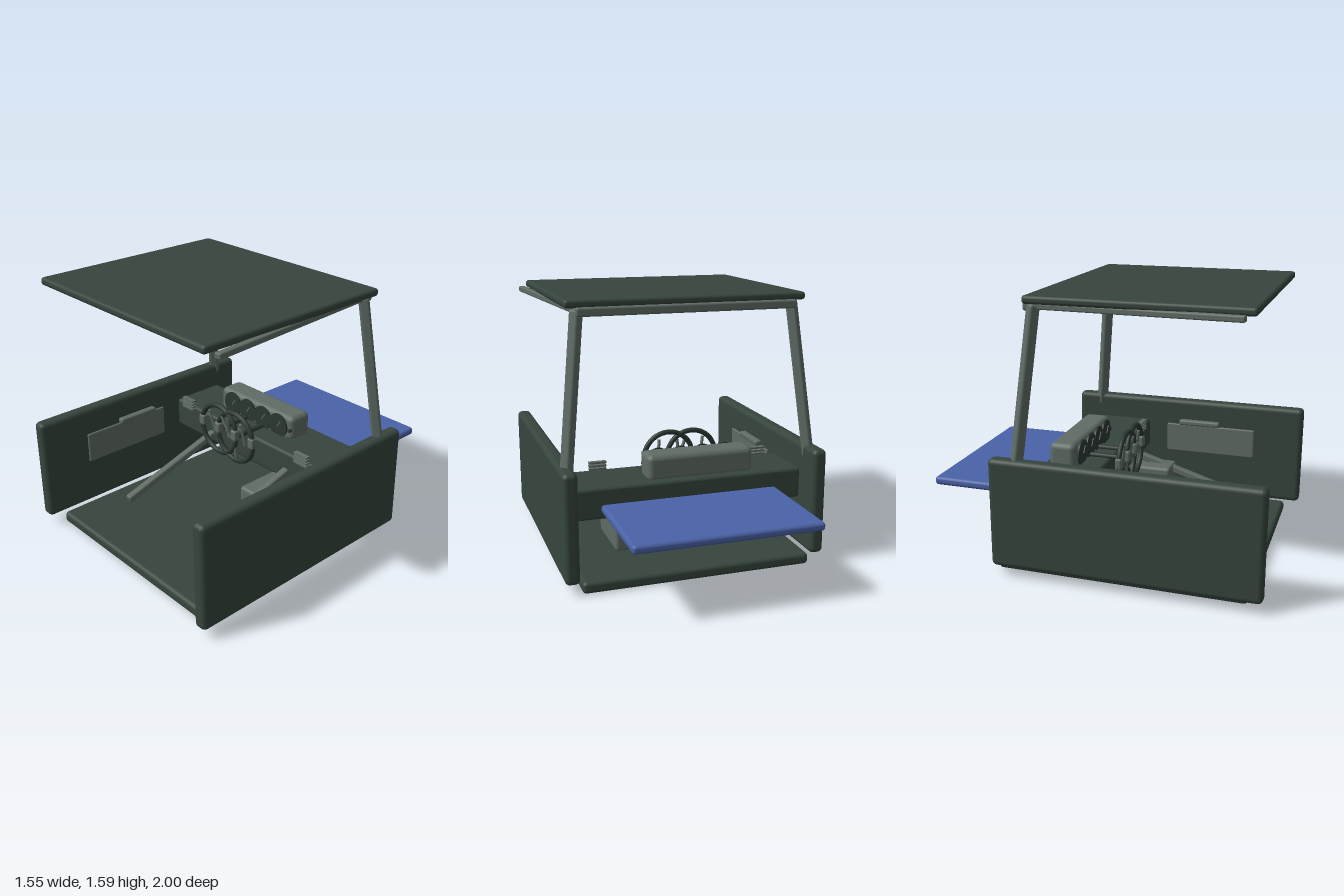
import * as THREE from 'three';
import { RoundedBoxGeometry } from 'three/addons/geometries/RoundedBoxGeometry.js';

const mat = (name, color) => {
  const m = new THREE.MeshStandardMaterial({ color });
  m.name = name;
  return m;
};

export function createModel() {
  const model = new THREE.Group();
  model.name = 'vehicleCockpit';

  const body = mat('dark green body', 0x36453d);
  const trim = mat('grey green trim', 0x606c65);
  const dark = mat('dark controls', 0x2b3731);
  const paint = mat('blue hood', 0x4a63a8);

  const add = (name, geometry, material, parent = model) => {
    const mesh = new THREE.Mesh(geometry, material);
    mesh.name = name;
    parent.add(mesh);
    return mesh;
  };

  // Rounded box given by its limits on each axis
  const slab = (name, [x0, x1], [y0, y1], [z0, z1], r, material, parent) => {
    const m = add(name, new RoundedBoxGeometry(x1 - x0, y1 - y0, z1 - z0, 3, r), material, parent);
    m.position.set((x0 + x1) / 2, (y0 + y1) / 2, (z0 + z1) / 2);
    return m;
  };

  // Rounded bar running from a to b
  const bar = (name, a, b, w, h, material, parent) => {
    const p = new THREE.Vector3(...a), q = new THREE.Vector3(...b);
    const m = add(name, new RoundedBoxGeometry(w, h, p.distanceTo(q), 2, Math.min(w, h) * 0.25), material, parent);
    m.position.copy(p).add(q).multiplyScalar(0.5);
    m.lookAt(q);
    return m;
  };

  // Main panels
  slab('floor', [-0.68, 0.68], [0, 0.07], [-0.53, 0.91], 0.025, body);
  slab('roof', [-0.7, 0.7], [1.54, 1.585], [-0.33, 0.9], 0.018, body);
  slab('dashboard', [-0.685, 0.685], [0.365, 0.55], [-0.37, -0.02], 0.02, body);
  slab('hood', [-0.53, 0.53], [0.4, 0.45], [-1, -0.33], 0.02, paint);
  bar('windshieldHeader', [-0.64, 1.52, -0.325], [0.64, 1.52, -0.325], 0.05, 0.05, trim);

  // Mirrored sides
  for (const s of [-1, 1]) {
    const side = new THREE.Group();
    side.name = s > 0 ? 'leftSide' : 'rightSide';
    model.add(side);
    const span = (a, b) => (s > 0 ? [a, b] : [-b, -a]);
    slab('sidePanel', span(0.69, 0.775), [0.06, 0.695], [-0.53, 1], 0.03, body, side);
    slab('doorCard', span(0.678, 0.7), [0.34, 0.53], [0.1, 0.69], 0.008, trim, side);
    slab('doorHandle', span(0.64, 0.685), [0.535, 0.57], [0.19, 0.46], 0.012, trim, side);
    bar('windshieldPillar', [s * 0.727, 0.62, -0.38], [s * 0.627, 1.53, -0.29], 0.062, 0.06, trim, side);
    bar('roofRail', [s * 0.615, 1.52, -0.325], [s * 0.733, 1.535, 0.85], 0.04, 0.034, trim, side);
    bar('lever', [s * 0.331, 0.43, -0.05], [s * 0.331, 0.212, 0.66], 0.046, 0.045, trim, side);
  }

  // Air vents made of slats
  for (const x of [-0.555, 0.465]) {
    const vent = new THREE.Group();
    vent.name = 'airVent';
    vent.position.set(x, 0, -0.015);
    model.add(vent);
    for (let i = 0; i < 4; i++) {
      add('ventSlat', new THREE.BoxGeometry(0.103, 0.011, 0.03), trim, vent).position.y = 0.533 + i * 0.019;
    }
  }

  // Box on the floor under the dashboard
  slab('consoleBox', [0.213, 0.395], [0.065, 0.375], [-0.15, 0.24], 0.02, trim);

  // Instrument pod with a row of dials
  slab('instrumentPod', [-0.4, 0.243], [0.53, 0.69], [-0.32, -0.16], 0.035, trim);
  for (let i = 0; i < 4; i++) {
    const x = -0.28 + i * 0.137;
    const dial = add('dial', new THREE.CylinderGeometry(0.075, 0.075, 0.012, 32), dark);
    dial.rotation.x = Math.PI / 2;
    dial.position.set(x, 0.612, -0.157 + i * 0.001);
    const needle = add('dialNeedle', new THREE.BoxGeometry(0.006, 0.05, 0.004), trim);
    needle.position.set(x + 0.012, 0.625, -0.148 + i * 0.001);
    needle.rotation.z = -0.6;
  }
  const knob = add('podKnob', new THREE.CylinderGeometry(0.011, 0.011, 0.02, 12), dark);
  knob.rotation.x = Math.PI / 2;
  knob.position.set(0.226, 0.605, -0.16);

  // Two overlapping steering wheels
  for (const x of [-0.155, -0.006]) {
    const wheel = new THREE.Group();
    wheel.name = 'steeringWheel';
    wheel.position.set(x, 0.557, 0.075);
    model.add(wheel);
    add('wheelRim', new THREE.TorusGeometry(0.156, 0.0155, 12, 48), dark, wheel);
    for (const deg of [30, 150, 270]) {
      const a = THREE.MathUtils.degToRad(deg);
      bar('wheelSpoke', [0, 0, 0], [Math.cos(a) * 0.15, Math.sin(a) * 0.15, 0], 0.016, 0.016, trim, wheel);
    }
    slab('wheelHub', [-0.024, 0.024], [-0.02, 0.05], [-0.02, 0.025], 0.012, trim, wheel);
    for (const s of [-1, 1]) {
      slab('wheelGrip', [s * 0.147 - 0.024, s * 0.147 + 0.024], [-0.02, 0.05], [-0.02, 0.02], 0.012, trim, wheel);
    }
    const column = add('steeringColumn', new THREE.CylinderGeometry(0.016, 0.016, 0.24, 16), dark, wheel);
    column.rotation.x = Math.PI / 2;
    column.position.z = -0.12;
  }

  return model;
}
